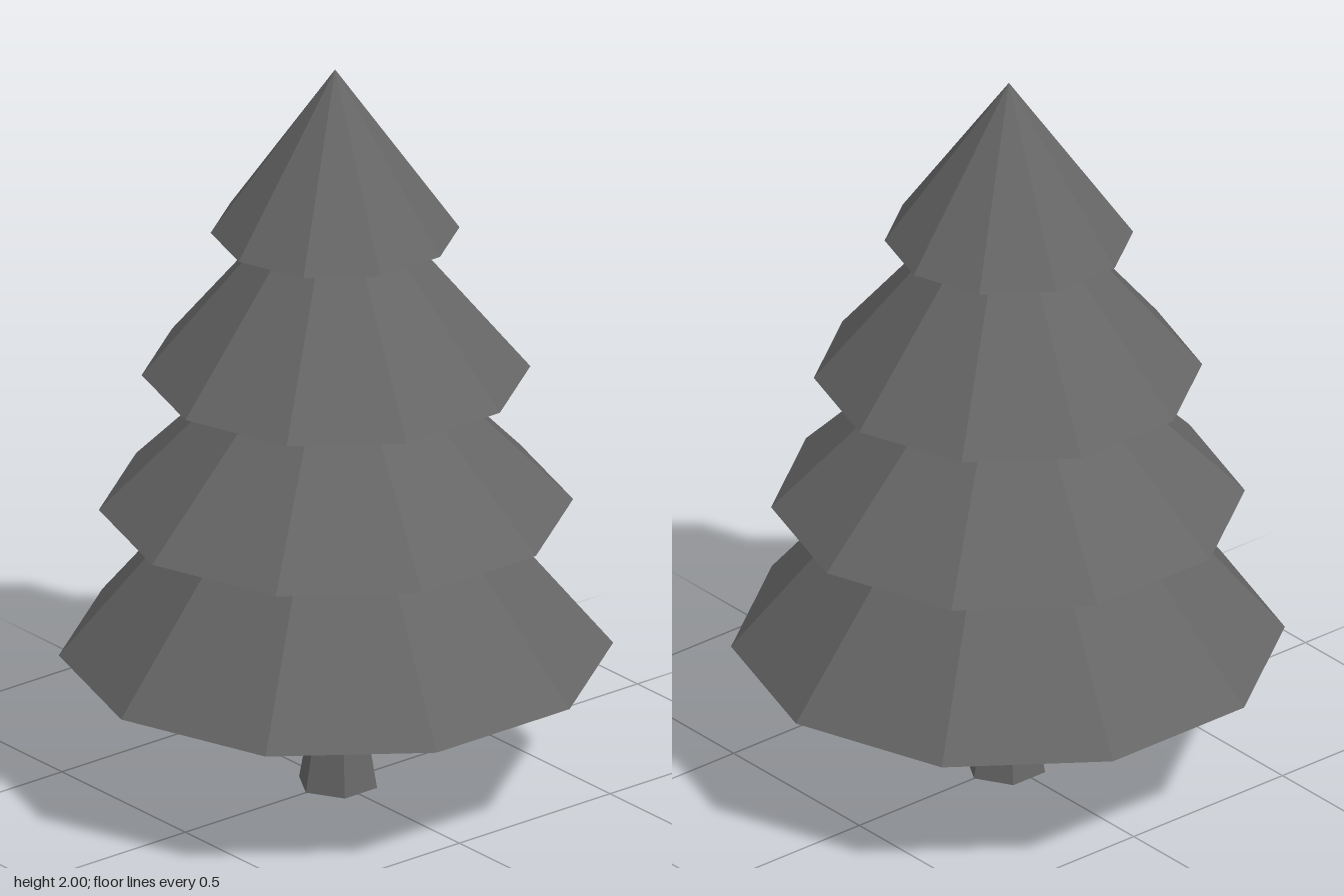
import * as THREE from 'three';

export function createModel() {
  const tree = new THREE.Group();
  tree.name = 'pineTree';
  const grey = new THREE.MeshStandardMaterial({ color: 0x666666, flatShading: true });
  grey.name = 'dark grey';

  // Foliage: overlapping ten-sided cones, [radius, base height, apex height]
  const tiers = [
    [0.713, 0.375, 1.23],
    [0.61, 0.78, 1.4],
    [0.5, 1.155, 1.755],
    [0.32, 1.55, 2.0],
  ];
  tiers.forEach(([radius, base, apex], i) => {
    const cone = new THREE.ConeGeometry(radius, apex - base, 10, 1, false, Math.PI / 2);
    cone.translate(i === 3 ? -0.003 : 0, (base + apex) / 2, 0);
    const mesh = new THREE.Mesh(cone, grey);
    mesh.name = `foliageTier${i + 1}`;
    tree.add(mesh);
  });

  // Trunk: six-sided, flared at the foot and leaning slightly sideways
  const rings = [
    { y: 0, r: 0.107, x: 0.007 },
    { y: 0.21, r: 0.07, x: 0.008 },
    { y: 0.42, r: 0.064, x: 0.012 },
  ];
  const geometry = new THREE.CylinderGeometry(1, 1, 2, 6, 2, false, Math.PI / 2);
  const p = geometry.attributes.position;
  for (let i = 0; i < p.count; i++) {
    const ring = rings[Math.round(p.getY(i)) + 1];
    p.setXYZ(i, p.getX(i) * ring.r + ring.x, ring.y, p.getZ(i) * ring.r);
  }
  geometry.computeVertexNormals();
  const trunk = new THREE.Mesh(geometry, grey);
  trunk.name = 'trunk';
  tree.add(trunk);

  return tree;
}
